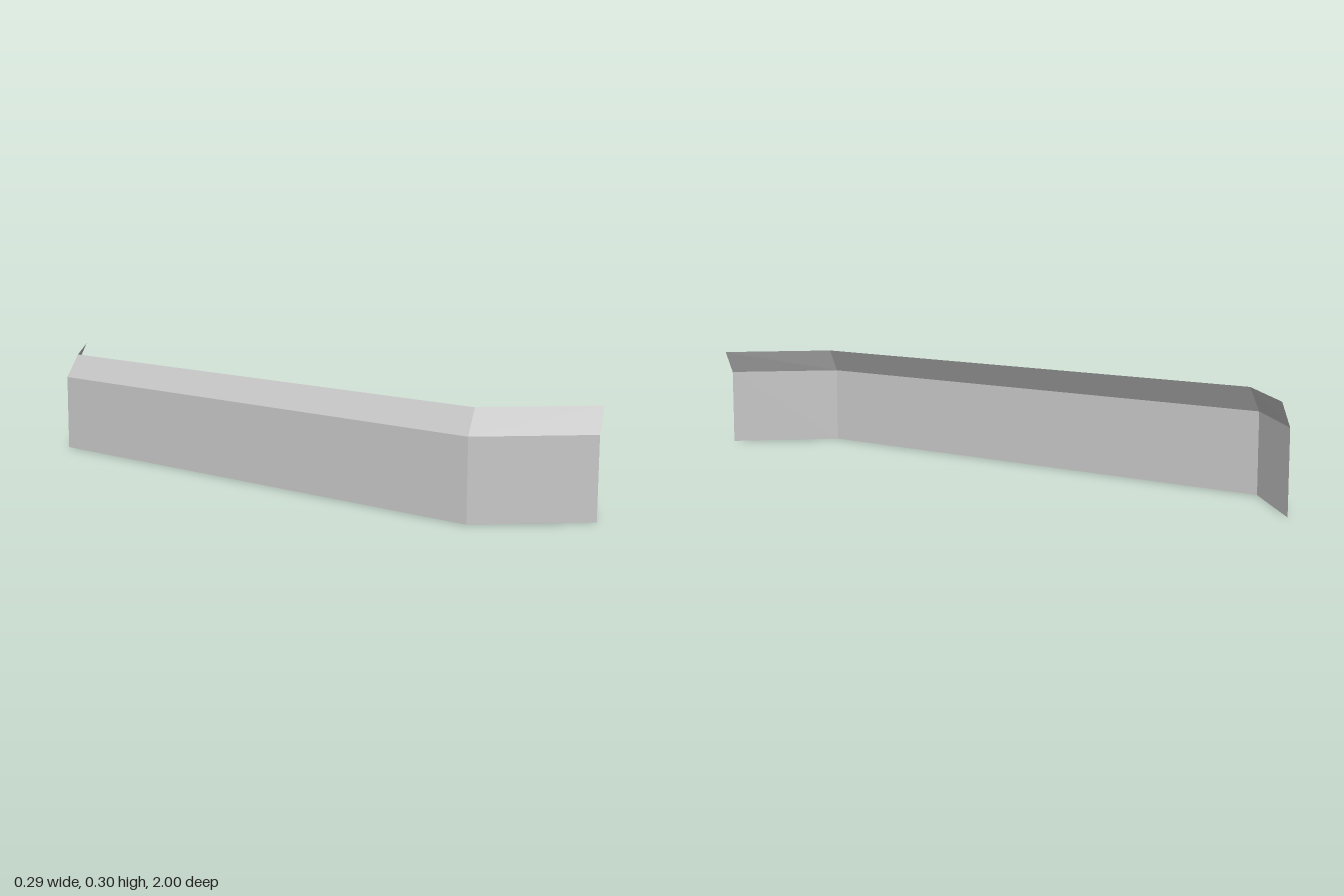
import * as THREE from 'three';

export function createModel() {
  const model = new THREE.Group();
  model.name = 'barrier';
  const grey = new THREE.MeshStandardMaterial({ color: 0xc8c8c8, side: THREE.DoubleSide });
  grey.name = 'light grey';

  // Plan outlines [x, z], running from the back end to the front end
  const wallLine = [[0.068, -1], [-0.143, -0.802], [-0.143, 0.763], [0.103, 1]];
  const rimLine = [[0.108, -0.996], [-0.103, -0.794], [-0.103, 0.754], [0.143, 0.987]];
  const at = ([x, z], y) => [x, y, z];

  // One flat sheet between two matching edges
  function addPanel(name, a, b, c, d) {
    const geometry = new THREE.BufferGeometry();
    const corners = [a, b, c, a, c, d].flat();
    geometry.setAttribute('position', new THREE.Float32BufferAttribute(corners, 3));
    geometry.computeVertexNormals();
    const mesh = new THREE.Mesh(geometry, grey);
    mesh.name = name;
    model.add(mesh);
  }

  // Upright wall panels with the leaning rim above each, facing outwards
  ['backWing', 'longSide', 'frontWing'].forEach((name, i) => {
    const w0 = wallLine[i], w1 = wallLine[i + 1];
    const r0 = rimLine[i], r1 = rimLine[i + 1];
    addPanel(name + 'Wall', at(w0, 0), at(w1, 0), at(w1, 0.23), at(w0, 0.23));
    addPanel(name + 'Rim', at(w0, 0.23), at(w1, 0.23), at(r1, 0.3), at(r0, 0.3));
  });

  return model;
}
